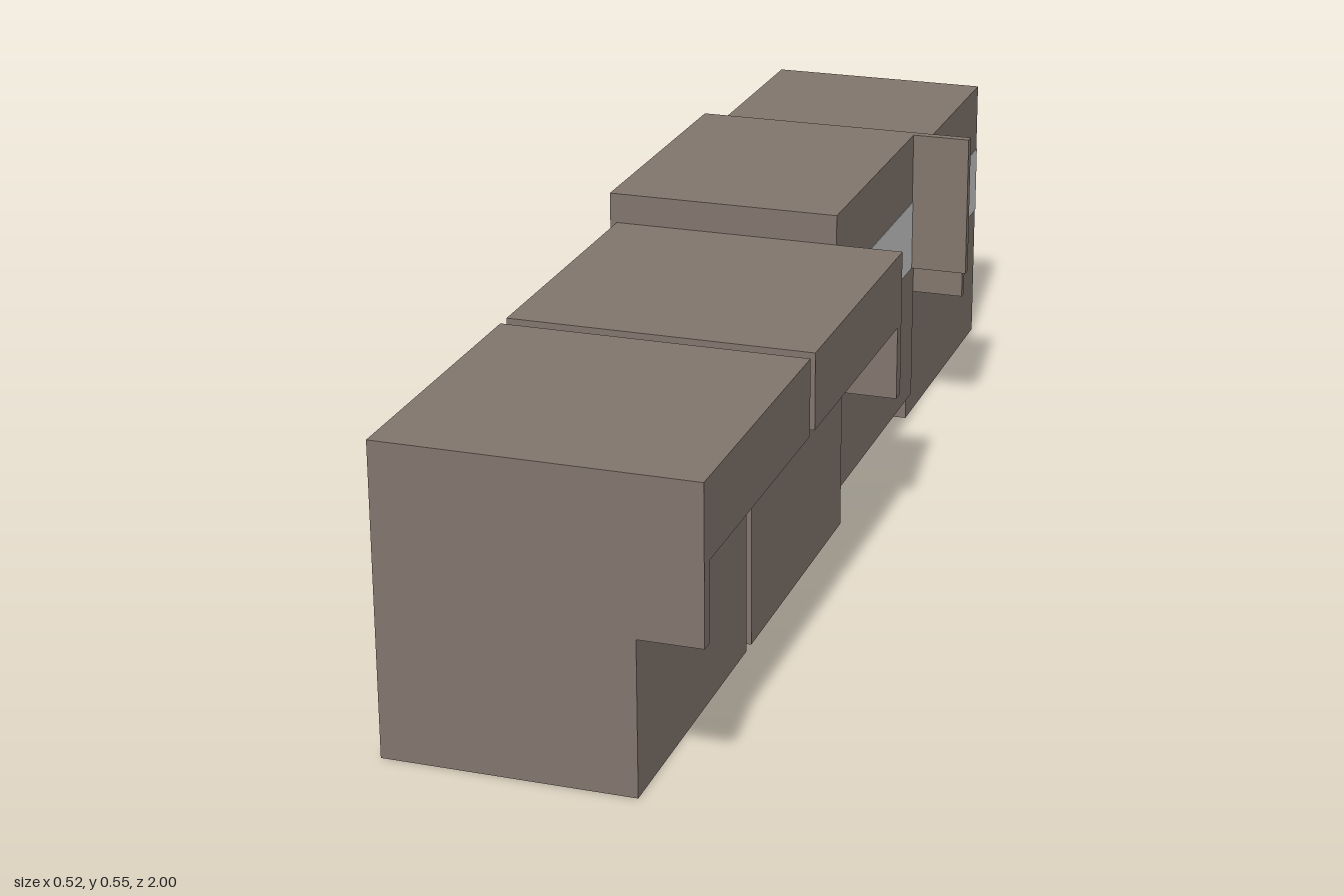
import * as THREE from 'three';

const wall = new THREE.MeshStandardMaterial({ color: 0x82766d });
wall.name = 'wall brown';
const glass = new THREE.MeshStandardMaterial({ color: 0xcccccc });
glass.name = 'window grey';

// Box given by its limits on each axis
function block(name, material, [x0, x1], [y0, y1], [z0, z1]) {
  const mesh = new THREE.Mesh(new THREE.BoxGeometry(x1 - x0, y1 - y0, z1 - z0), material);
  mesh.position.set((x0 + x1) / 2, (y0 + y1) / 2, (z0 + z1) / 2);
  mesh.name = name;
  return mesh;
}

const WIDTH = 0.394, HEIGHT = 0.495, DEPTH = 0.1;
const SILL = 0.247, HEAD = 0.371;

// One house: body, window strip, side fin and an optional hood over the window
function house({ name, x, y, z, window, fin, hood }) {
  const group = new THREE.Group();
  group.name = name;
  const face = x + WIDTH;
  const out = [face, face + DEPTH];
  group.add(block('body', wall, [x, face], [y, y + HEIGHT], z));
  group.add(block('windowStrip', glass, [face - 0.001, face + 0.001], [y + SILL, y + HEAD], window));
  group.add(block('sideFin', wall, out, [y + SILL, y + (hood ? HEAD : HEIGHT)], fin));
  if (hood) group.add(block('hood', wall, out, [y + HEAD, y + HEIGHT], z));
  return group;
}

export function createModel() {
  const model = new THREE.Group();
  model.name = 'rowOfHouses';
  const houses = [
    { name: 'frontHouse', x: -0.237, y: 0, z: [0.507, 1], window: [0.53, 0.977], fin: [0.977, 1], hood: true },
    { name: 'secondHouse', x: -0.237, y: 0, z: [-0.008, 0.482], window: [0.015, 0.459], fin: [-0.008, 0.015], hood: true },
    { name: 'raisedHouse', x: -0.249, y: 0.05, z: [-0.504, -0.009], window: [-0.488, -0.009], fin: [-0.504, -0.488] },
    { name: 'rearHouse', x: -0.259, y: 0, z: [-1, -0.505], window: [-1, -0.521], fin: [-0.521, -0.505] },
  ];
  houses.forEach((h) => model.add(house(h)));
  return model;
}
